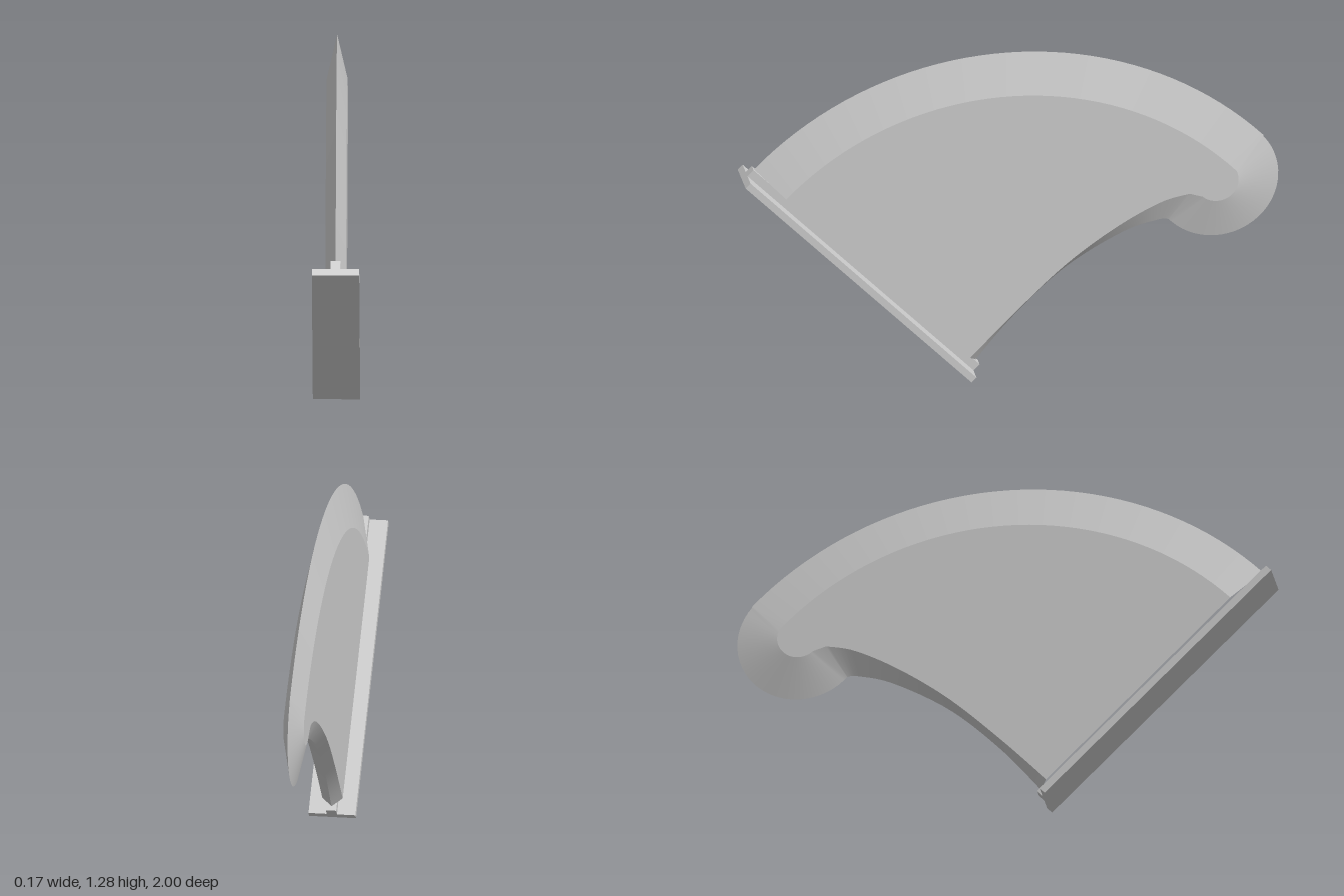
import * as THREE from 'three';

const HALF = 0.038; // half thickness of the blade
const rad = THREE.MathUtils.degToRad;

// Points are (z, y) pairs in the plane of the blade
function arc(cz, cy, r, a0, a1, n) {
  return Array.from({ length: n + 1 }, (_, i) => {
    const a = rad(a0 + ((a1 - a0) * i) / n);
    return new THREE.Vector2(cz + r * Math.cos(a), cy + r * Math.sin(a));
  });
}

function spline(points, n) {
  return new THREE.SplineCurve(points.map(p => new THREE.Vector2(...p))).getPoints(n);
}

function geometryFrom(points, triangles, side) {
  // points: [x, z, y]; triangles face -x, and are flipped for the +x side
  const geo = new THREE.BufferGeometry();
  geo.setAttribute('position', new THREE.Float32BufferAttribute(
    points.flatMap(([x, z, y]) => [x * side, y, z]), 3));
  geo.setIndex(triangles.flatMap(([a, b, c]) => (side > 0 ? [a, c, b] : [a, b, c])));
  geo.computeVertexNormals();
  return geo;
}

export function createModel() {
  const group = new THREE.Group();
  const material = new THREE.MeshStandardMaterial({ color: 0xcccccc });
  const add = (name, geo, parent = group) => {
    const mesh = new THREE.Mesh(geo, material);
    mesh.name = name;
    parent.add(mesh);
    return mesh;
  };

  // Sharp rim: leading arc, rounded hooked tip, trailing edge
  const rim = [
    ...arc(0.005, -0.047, 1.324, 44.2, 135.8, 40),
    ...arc(-0.766, 0.72, 0.234, 140, 314, 28),
    ...spline([[-0.592, 0.563], [-0.555, 0.565], [-0.42, 0.525], [-0.21, 0.402],
      [-0.02, 0.228], [0.13, 0.052]], 28),
  ];
  // Border of the flat cheek, matched point for point with the rim
  const border = [
    ...arc(0.005, -0.047, 1.164, 44.2, 136.5, 40),
    ...arc(-0.766, 0.72, 0.08, 164, 312, 28),
    ...spline([[-0.664, 0.676], [-0.557, 0.65], [-0.396, 0.565], [-0.21, 0.432],
      [-0.02, 0.256], [0.155, 0.077]], 28),
  ];
  const count = rim.length;

  // Bevels and flat cheeks, mirrored
  const blade = new THREE.Group();
  blade.name = 'blade';
  group.add(blade);
  const bevelPoints = [
    ...rim.map(p => [0, p.x, p.y]),
    ...border.map(p => [HALF, p.x, p.y]),
  ];
  const bevelFaces = [];
  for (let i = 0; i < count - 1; i++) {
    bevelFaces.push([i, i + 1, count + i], [i + 1, count + i + 1, count + i]);
  }
  const cheekPoints = border.map(p => [HALF, p.x, p.y]);
  const cheekFaces = THREE.ShapeUtils.triangulateShape(border, []);
  for (const [label, side] of [['left', 1], ['right', -1]]) {
    add(`${label}Bevel`, geometryFrom(bevelPoints, bevelFaces, side), blade);
    add(`${label}Cheek`, geometryFrom(cheekPoints, cheekFaces, side), blade);
    // Root end, facing the mounting plate
    const root = [rim[0], border[0], border[count - 1], rim[count - 1]]
      .map((p, i) => [i === 1 || i === 2 ? HALF : 0, p.x, p.y]);
    add(`${label}Root`, geometryFrom(root, [[0, 2, 1], [0, 3, 2]], side), blade);
  }

  // Mounting plate with a narrow rib, tilted 45 degrees
  const mount = new THREE.Group();
  mount.name = 'mount';
  mount.position.set(0, 0, 0.158);
  mount.rotation.x = -Math.PI / 4;
  group.add(mount);
  const length = 1.19;
  add('mountingPlate', new THREE.BoxGeometry(0.174, 0.026, length), mount)
    .position.set(0, 0.013, length / 2);
  add('rib', new THREE.BoxGeometry(0.038, 0.036, length), mount)
    .position.set(0, 0.04, length / 2);

  return group;
}
